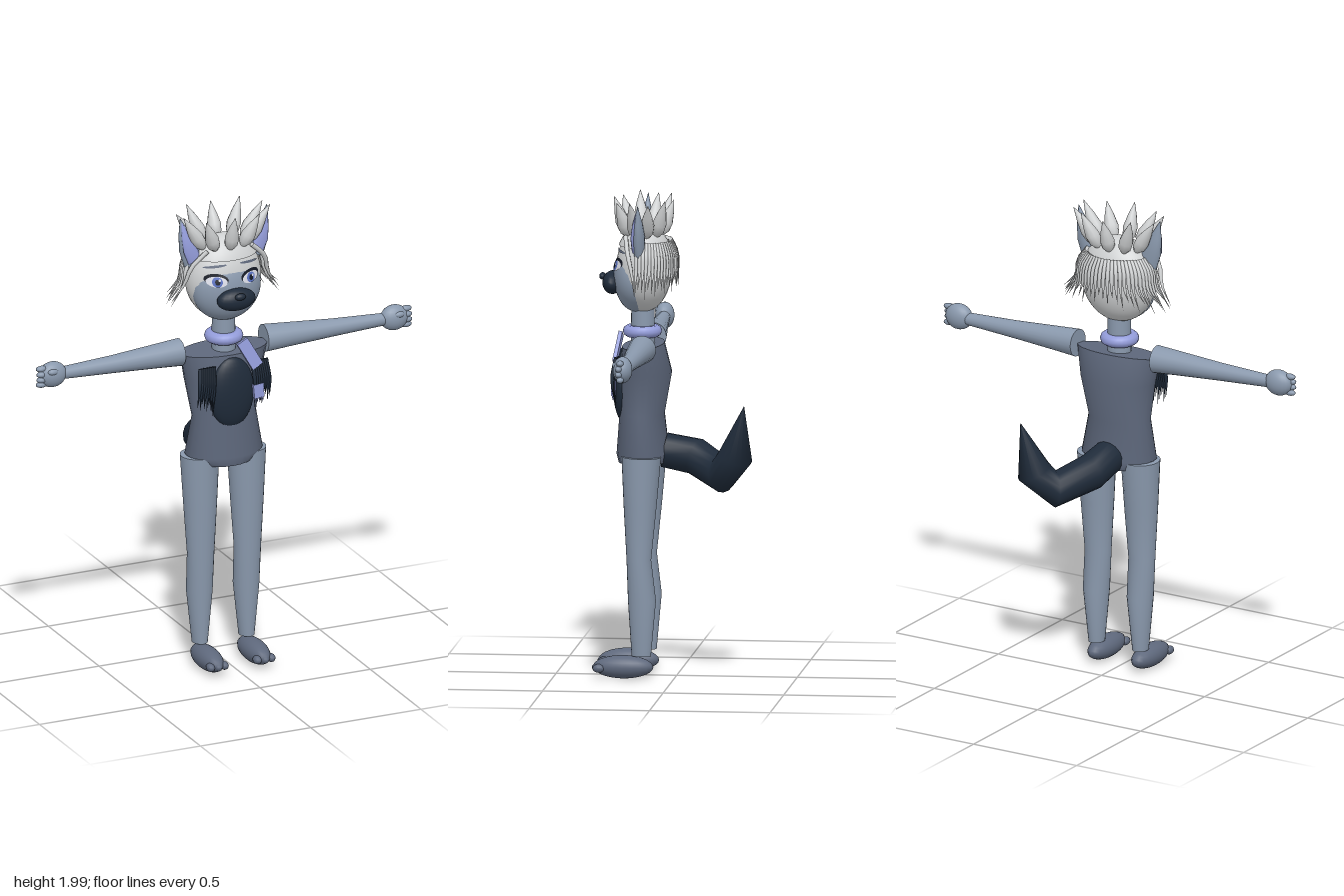
import * as THREE from 'three';

const mat = (name, color, side = THREE.FrontSide) => {
  const m = new THREE.MeshStandardMaterial({ color, side });
  m.name = name;
  return m;
};

// Tapered body through sections [x, y, z, radiusU, radiusV]; u is the cross-section's first axis
function loft(sections, u, sides = 16) {
  const c = sections.map(s => new THREE.Vector3(s[0], s[1], s[2]));
  const pos = [], idx = [], n = sections.length;
  const ring = i => {
    const t = c[Math.min(i + 1, n - 1)].clone().sub(c[Math.max(i - 1, 0)]).normalize();
    const v = t.clone().cross(u).normalize(), w = v.clone().cross(t);
    const start = pos.length / 3, [, , , ru, rv = ru] = sections[i];
    for (let j = 0; j < sides; j++) {
      const a = j / sides * Math.PI * 2;
      const p = c[i].clone().addScaledVector(w, Math.cos(a) * ru).addScaledVector(v, Math.sin(a) * rv);
      pos.push(p.x, p.y, p.z);
    }
    return start;
  };
  for (let i = 0; i < n; i++) ring(i);
  for (let i = 0; i < n - 1; i++) for (let j = 0; j < sides; j++) {
    const k = (j + 1) % sides, a = i * sides, b = a + sides;
    idx.push(a + j, a + k, b + j, a + k, b + k, b + j);
  }
  // end caps with their own vertices, so the rims stay sharp
  for (const i of [0, n - 1]) {
    const s = ring(i), m = pos.length / 3;
    pos.push(c[i].x, c[i].y, c[i].z);
    for (let j = 0; j < sides; j++) {
      const k = (j + 1) % sides;
      idx.push(m, s + (i ? j : k), s + (i ? k : j));
    }
  }
  const g = new THREE.BufferGeometry();
  g.setAttribute('position', new THREE.Float32BufferAttribute(pos, 3));
  g.setIndex(idx);
  g.computeVertexNormals();
  return g;
}

const X = new THREE.Vector3(1, 0, 0), Z = new THREE.Vector3(0, 0, 1);
const SKULL = [0, 1.7, 0.135, 0.165, 0.18, 0.115];
const FACE = [0, 1.67, 0.165, 0.152, 0.15, 0.095];

// Depth of the front of the head at x, y
const headZ = (x, y) => Math.max(...[SKULL, FACE].map(([, cy, cz, rx, ry, rz]) =>
  cz + rz * Math.sqrt(Math.max(0, 1 - (x / rx) ** 2 - ((y - cy) / ry) ** 2))));

export function createModel() {
  const fur = mat('blue grey fur', 0x8a99ad), body = mat('slate fur', 0x5e687c);
  const dark = mat('dark navy fur', 0x1f2b3a), scarf = mat('lavender', 0x949ddb);
  const hair = mat('pale hair', 0xd0d2d3), white = mat('eye white', 0xeef0fb, THREE.DoubleSide);
  const iris = mat('iris blue', 0x5870c0, THREE.DoubleSide), ink = mat('lash black', 0x151a26, THREE.DoubleSide);

  const model = new THREE.Group();
  const add = (name, geometry, material) => {
    const m = new THREE.Mesh(geometry, material);
    m.name = name;
    model.add(m);
    return m;
  };
  const ball = (name, [x, y, z, rx, ry = rx, rz = rx], material, seg = 20) => {
    const m = add(name, new THREE.SphereGeometry(1, seg, Math.round(seg * 0.7)), material);
    m.position.set(x, y, z);
    m.scale.set(rx, ry, rz);
    return m;
  };
  // thin ellipse laid on the face
  const decal = (name, x, y, rx, ry, lift, material, tilt = 0) => {
    const g = new THREE.RingGeometry(0, 1, 24, 4).scale(rx, ry, 1).rotateZ(tilt).translate(x, y, 0);
    const p = g.attributes.position;
    for (let i = 0; i < p.count; i++) p.setZ(i, headZ(p.getX(i), p.getY(i)) + lift);
    g.computeVertexNormals();
    add(name, g, material);
  };
  // tapering lock of hair along a curve
  const strand = (name, points, r, material) => {
    const curve = new THREE.CatmullRomCurve3(points.map(p => new THREE.Vector3(...p)));
    const s = curve.getPoints(7).map((p, i) => [p.x, p.y, p.z, r * (i < 4 ? 1 : (7 - i) / 3.5)]);
    add(name, loft(s, X, 6), material);
  };

  // torso, neck and scarf
  add('torso', loft([[0, 0.895, 0.14, 0.125, 0.1], [0, 0.935, 0.14, 0.17, 0.108], [0, 1.1, 0.143, 0.14, 0.093],
    [0, 1.27, 0.13, 0.17, 0.11], [0, 1.385, 0.138, 0.195, 0.086]], X, 24), body);
  add('neck', new THREE.CylinderGeometry(0.048, 0.05, 0.2, 20).translate(0, 1.46, 0.14), fur);
  add('scarfRing', new THREE.TorusGeometry(0.056, 0.025, 10, 28).rotateX(Math.PI / 2).translate(0, 1.44, 0.142), scarf);
  add('scarfTail', new THREE.BoxGeometry(0.052, 0.13, 0.016).rotateX(-0.15).rotateZ(0.5).translate(0.075, 1.378, 0.235), scarf);
  add('scarfEnd', new THREE.BoxGeometry(0.045, 0.06, 0.016).rotateZ(0.1).translate(0.107, 1.215, 0.25), scarf);
  for (let i = 0; i < 4; i++)
    add('scarfFringe', new THREE.ConeGeometry(0.006, 0.025, 6).rotateX(Math.PI).translate(0.092 + i * 0.011, 1.175, 0.25), scarf);

  // dark chest patch with hanging locks beside it
  ball('chestFur', [0, 1.215, 0.22, 0.1, 0.155, 0.043], dark, 24);
  for (const s of [-1, 1]) for (let i = 0; i < 8; i++) {
    const x = s * (0.092 + i * 0.0095), low = 1.13 + (i % 3) * 0.018 + i * 0.004;
    strand('chestLock', [[x * 0.94, 1.345, 0.235], [x, 1.26, 0.25], [x * 1.03, low, 0.24]], 0.009, dark);
  }

  // tail
  add('tail', loft([[0, 0.945, 0.05, 0.072], [0, 0.92, -0.08, 0.076], [0.1, 0.862, -0.2, 0.076],
    [0.165, 0.945, -0.262, 0.072], [0.205, 1.16, -0.302, 0.001]], new THREE.Vector3(0.78, 0, 0.62), 16), dark);

  for (const s of [-1, 1]) {
    // leg and foot
    const lx = s * 0.106;
    add('leg', loft([[lx, 0.1, 0.135, 0.032, 0.04], [lx, 0.33, 0.132, 0.055, 0.058], [lx, 0.5, 0.145, 0.058, 0.051],
      [lx, 0.72, 0.14, 0.071, 0.068], [lx, 0.93, 0.135, 0.082, 0.082]], X, 20), fur);
    ball('foot', [lx, 0.054, 0.21, 0.051, 0.048, 0.125], body);
    for (const t of [-1, 0, 1]) ball('toe', [lx + t * 0.031, 0.05, 0.315 - Math.abs(t) * 0.006, 0.018, 0.018, 0.025], body, 12);

    // arm, hand and fingers
    add('arm', loft([[s * 0.19, 1.388, 0.122, 0.058, 0.058], [s * 0.3, 1.388, 0.125, 0.052, 0.05],
      [s * 0.5, 1.387, 0.13, 0.038, 0.037], [s * 0.73, 1.388, 0.135, 0.026, 0.026]], Z, 20), fur);
    ball('hand', [s * 0.775, 1.39, 0.137, 0.062, 0.055, 0.04], fur);
    for (const [y, z] of [[1.423, 0.142], [1.4, 0.148], [1.377, 0.148], [1.354, 0.142]])
      ball('finger', [s * 0.826, y, z, 0.026, 0.013, 0.015], fur, 12);
    ball('thumb', [s * 0.785, 1.41, 0.165, 0.024, 0.014, 0.014], fur, 12);

    // ear with a coloured inside
    add('ear', loft([[s * 0.135, 1.78, 0.14, 0.045, 0.022], [s * 0.16, 1.85, 0.14, 0.042, 0.026],
      [s * 0.178, 1.91, 0.14, 0.026, 0.018], [s * 0.197, 1.985, 0.14, 0.001]], X, 14), fur);
    add('innerEar', loft([[s * 0.14, 1.795, 0.16, 0.03, 0.01], [s * 0.162, 1.85, 0.163, 0.031, 0.01],
      [s * 0.178, 1.905, 0.156, 0.019, 0.008], [s * 0.193, 1.97, 0.143, 0.001]], X, 12), scarf);

    // eye and brow
    const ex = s * 0.076;
    decal('lashes', ex, 1.728, 0.048, 0.025, 0.002, ink, s * 0.12);
    decal('eyeWhite', ex, 1.72, 0.042, 0.022, 0.004, white, s * 0.1);
    decal('iris', ex, 1.72, 0.021, 0.021, 0.006, iris);
    decal('pupil', ex, 1.72, 0.01, 0.012, 0.008, ink);
    decal('eyeGlint', ex + 0.008, 1.728, 0.005, 0.005, 0.009, white);
    decal('brow', ex, 1.782, 0.047, 0.005, 0.004, body, -s * 0.1);

    // long lock framing the face
    strand('frontLock', [[s * 0.1, 1.845, 0.2], [s * 0.165, 1.78, 0.185], [s * 0.19, 1.7, 0.165], [s * 0.245, 1.62, 0.15]], 0.01, hair);
  }

  // head, face and muzzle
  ball('skull', SKULL, hair, 32);
  ball('face', FACE, fur, 32);
  ball('muzzle', [0, 1.64, 0.265, 0.086, 0.048, 0.042], dark);
  ball('nose', [0, 1.665, 0.307, 0.024, 0.015, 0.014], dark, 14);
  const cap = add('hairCap', new THREE.SphereGeometry(1, 32, 10, 0, Math.PI * 2, 0, 1.0), hair);
  cap.position.set(0, 1.7, 0.135);
  cap.scale.set(0.173, 0.187, 0.123);

  // crown of leaf-shaped spikes
  for (let i = 0; i < 10; i++) {
    const a = (i + 0.5) / 10 * Math.PI * 2 + 0.31, s = Math.sin(a), c = Math.cos(a);
    const shape = [[0, 0.012], [0.14, 0.027], [0.35, 0.03], [0.65, 0.019], [1, 0.001]];
    const h = 0.142 + 0.01 * (i % 2);
    add('hairSpike', loft(shape.map(([t, r]) =>
      [s * (0.105 + 0.1 * t), 1.845 + h * t, 0.135 + c * (0.072 + 0.052 * t), r]), X, 10), hair);
  }

  // curtain of locks around the sides and back
  const count = 34;
  for (let i = 0; i < count; i++) {
    const a = (i / (count - 1) - 0.5) * 3.5, s = Math.sin(a), c = -Math.cos(a);
    const flare = Math.abs(s), low = 1.6 + 0.02 * (i % 3) + 0.03 * (1 - flare);
    const at = (rx, y, rz) => [s * rx, y, 0.125 + c * rz];
    strand('backLock', [at(0.135, 1.818, 0.1), at(0.172, 1.77, 0.122), at(0.186, 1.7, 0.128),
      at(0.19 + 0.06 * flare, low, 0.13)], 0.0095, hair);
  }
  return model;
}
